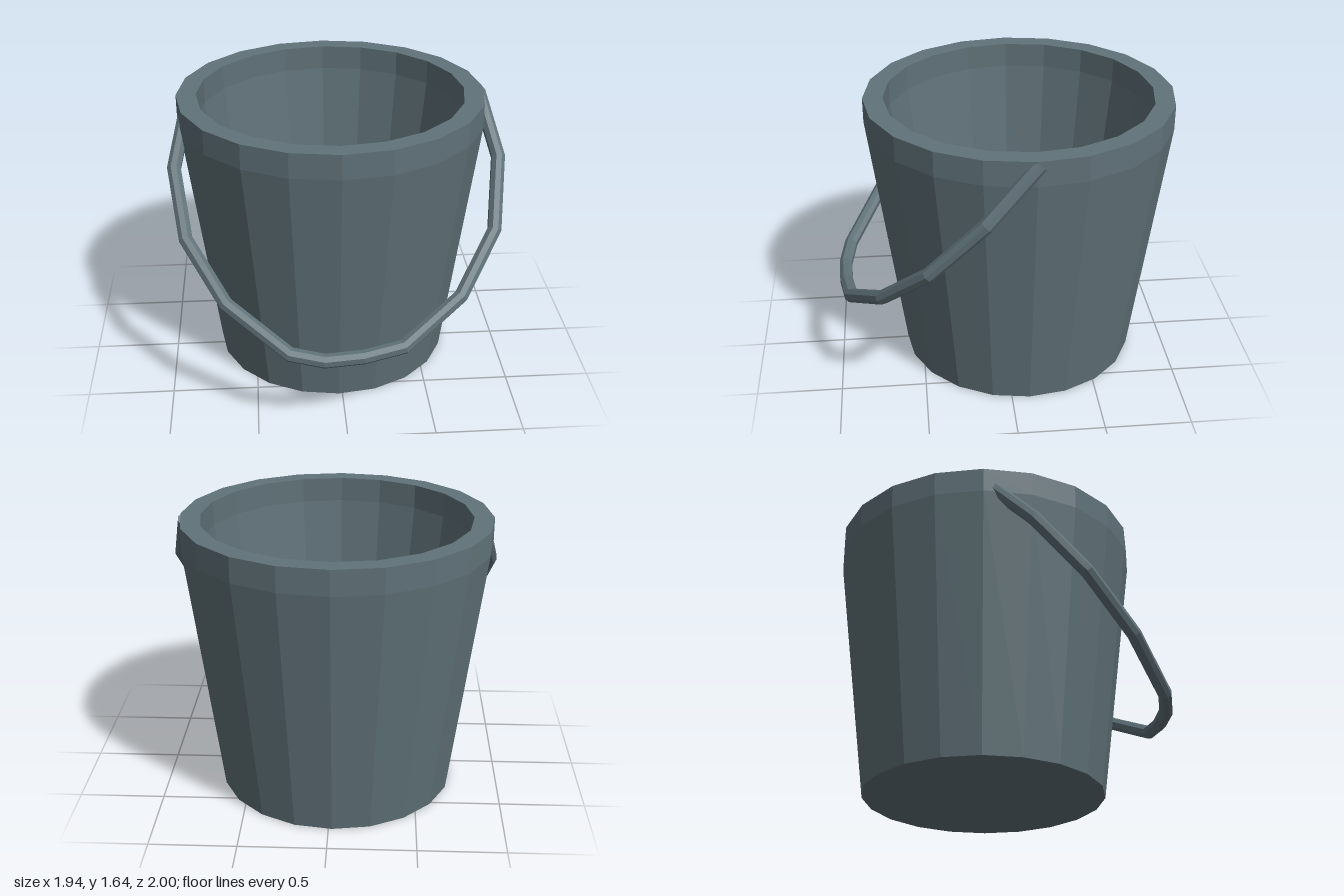
import * as THREE from 'three';

// Give every facet its own normal
function faceted(geometry) {
  const g = geometry.index ? geometry.toNonIndexed() : geometry;
  g.computeVertexNormals();
  return g;
}

// Bar swept along a flat path with mitred corners and closed ends
function mitredBar(path, planeNormal, radius, sides) {
  const pos = [], idx = [], n = path.length;
  path.forEach((p, i) => {
    const before = p.clone().sub(path[Math.max(i - 1, 0)]).normalize();
    const after = path[Math.min(i + 1, n - 1)].clone().sub(p).normalize();
    const tangent = before.clone().add(after).normalize();
    const across = planeNormal.clone().cross(tangent);
    const stretch = 1 / tangent.dot(i < n - 1 ? after : before);
    for (let j = 0; j < sides; j++) {
      const a = ((j + 0.5) / sides) * Math.PI * 2;
      const v = p.clone()
        .addScaledVector(across, radius * stretch * Math.cos(a))
        .addScaledVector(planeNormal, radius * Math.sin(a));
      pos.push(v.x, v.y, v.z);
    }
  });
  for (let i = 0; i < n - 1; i++) {
    for (let j = 0; j < sides; j++) {
      const k = (j + 1) % sides;
      const a = i * sides + j, b = i * sides + k;
      idx.push(a, b, b + sides, a, b + sides, a + sides);
    }
  }
  const last = (n - 1) * sides;
  for (let j = 1; j < sides - 1; j++) {
    idx.push(0, j + 1, j, last, last + j, last + j + 1);
  }
  const g = new THREE.BufferGeometry();
  g.setAttribute('position', new THREE.Float32BufferAttribute(pos, 3));
  g.setIndex(idx);
  return faceted(g);
}

export function createModel() {
  const model = new THREE.Group();
  model.name = 'bucket';
  const slate = new THREE.MeshStandardMaterial({ color: 0x607279, flatShading: true });
  slate.name = 'slateGrey';

  // Hollow tapered body with a straight rim band
  const profile = [
    [0, 0], [0.7, 0], [0.895, 1.5], [0.895, 1.645],
    [0.78, 1.645], [0.78, 1.5], [0.6, 0.115], [0, 0.115],
  ].map(([r, y]) => new THREE.Vector2(r, y));
  const body = new THREE.Mesh(faceted(new THREE.LatheGeometry(profile, 20)), slate);
  body.name = 'bucketBody';
  body.position.set(-0.02, 0, -0.105);
  model.add(body);

  // Bail handle hanging forward in a sloping plane
  const slope = 0.964;
  const path = [
    [0.85, 1.615], [0.93, 1.32], [0.87, 1.005], [0.65, 0.735], [0.315, 0.54], [0.09, 0.505],
    [-0.125, 0.495], [-0.315, 0.527], [-0.655, 0.737], [-0.87, 1.01], [-0.93, 1.31], [-0.85, 1.6],
  ].map(([x, y]) => new THREE.Vector3(x, y, -0.125 + (1.62 - y) * slope));
  const planeNormal = new THREE.Vector3(0, slope, 1).normalize();
  const handle = new THREE.Mesh(mitredBar(path, planeNormal, 0.041, 8), slate);
  handle.name = 'handle';
  model.add(handle);

  return model;
}
